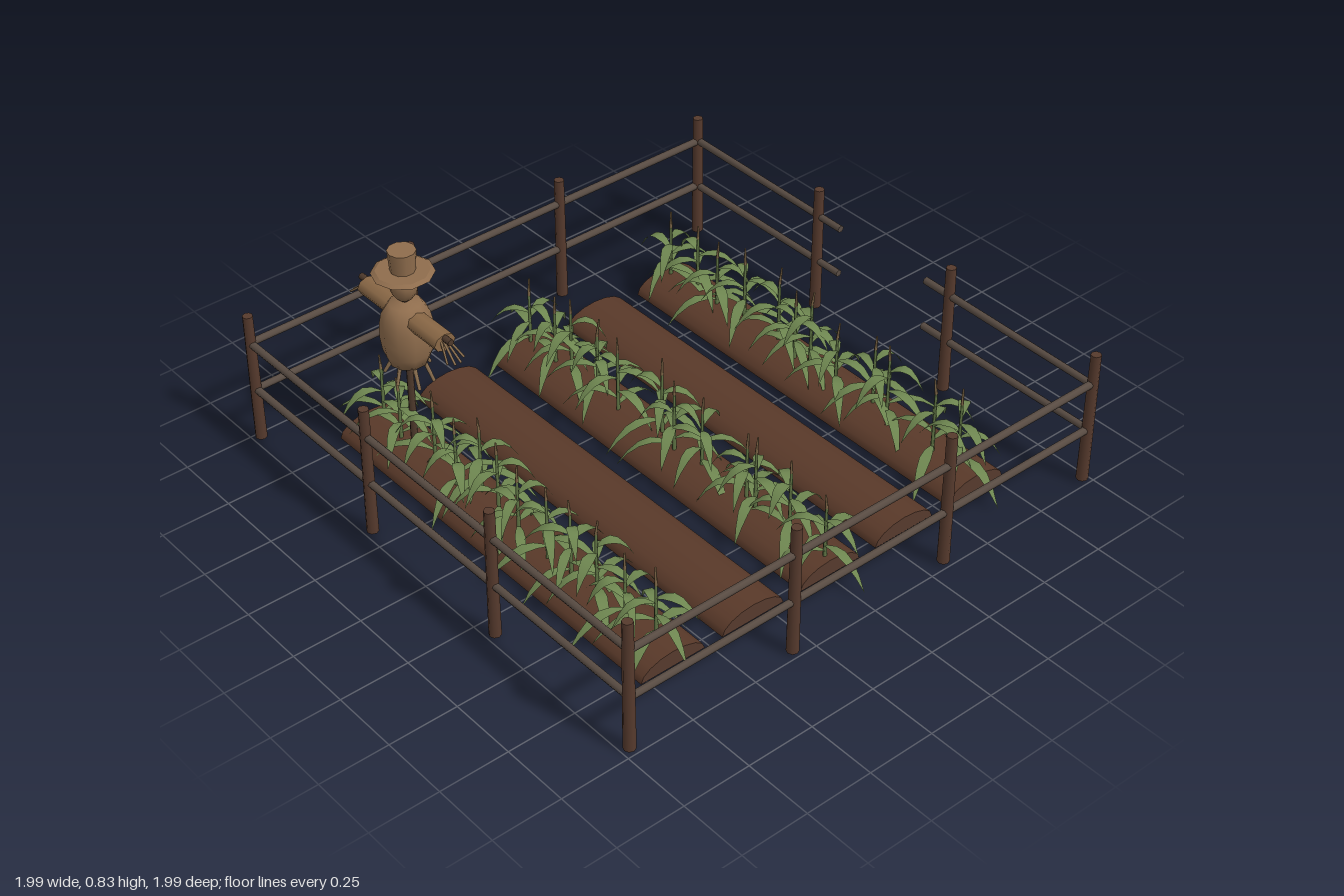
import * as THREE from 'three';
import { mergeGeometries } from 'three/addons/utils/BufferGeometryUtils.js';

const material = (name, color, extra = {}) => {
  const m = new THREE.MeshStandardMaterial({ color, ...extra });
  m.name = name;
  return m;
};

// Small seeded generator: returns values between a and b
let seed = 11;
const rand = (a, b) => {
  seed = (seed * 16807) % 2147483647;
  return a + (b - a) * (seed / 2147483647);
};

function add(parent, name, geometry, mat, x = 0, y = 0, z = 0) {
  const mesh = new THREE.Mesh(geometry, mat);
  mesh.name = name;
  mesh.position.set(x, y, z);
  parent.add(mesh);
  return mesh;
}

// Round bar between two points
function bar(parent, name, a, b, r1, r2, mat, sides = 7) {
  const from = new THREE.Vector3(...a), to = new THREE.Vector3(...b);
  const dir = to.clone().sub(from);
  const mesh = add(parent, name, new THREE.CylinderGeometry(r2, r1, dir.length(), sides), mat);
  mesh.position.copy(from).addScaledVector(dir, 0.5);
  mesh.quaternion.setFromUnitVectors(new THREE.Vector3(0, 1, 0), dir.normalize());
  return mesh;
}

const lathe = (points, sides) =>
  new THREE.LatheGeometry(points.map(p => new THREE.Vector2(...p)), sides);

// Arching leaf growing along +x, tapering to a point
function leafGeometry(length, halfWidth, rise, drop) {
  const widths = [0.25, 0.75, 1, 0.85, 0.5, 0];
  const pos = [], index = [];
  widths.forEach((w, i) => {
    const t = i / (widths.length - 1);
    const x = length * t, y = rise * Math.sin(t * Math.PI * 0.75) - drop * t * t;
    const h = w * halfWidth;
    pos.push(x, y, -h, x, y, h);
    if (i === 0) return;
    const a = (i - 1) * 2, b = i * 2;
    index.push(a, a + 1, b, a + 1, b + 1, b);
  });
  const g = new THREE.BufferGeometry();
  g.setAttribute('position', new THREE.Float32BufferAttribute(pos, 3));
  g.setIndex(index);
  g.computeVertexNormals();
  return g;
}

function cornPlant(mats) {
  const plant = new THREE.Group();
  plant.name = 'cornPlant';
  const height = rand(0.24, 0.29);
  bar(plant, 'stalk', [0, 0, 0], [0, height, 0], 0.008, 0.005, mats.stalk, 5);
  bar(plant, 'tassel', [0, height, 0], [rand(-0.006, 0.006), height + rand(0.05, 0.07), rand(-0.006, 0.006)],
    0.006, 0.003, mats.tassel, 5);
  const leaves = [], count = 7, start = rand(0, 6.28);
  for (let i = 0; i < count; i++) {
    const t = i / (count - 1);
    const length = (0.2 - 0.07 * t) * rand(0.85, 1.15);
    const g = leafGeometry(length, rand(0.017, 0.021), rand(0.03, 0.06), 0.11 - 0.02 * t);
    g.rotateY(start + i * 2.4 + rand(-0.4, 0.4));
    g.translate(0, 0.07 + t * (height - 0.12), 0);
    leaves.push(g);
  }
  add(plant, 'leaves', mergeGeometries(leaves), mats.leaf);
  return plant;
}

function scarecrow(mats) {
  const s = new THREE.Group();
  s.name = 'scarecrow';
  bar(s, 'pole', [0, 0, 0], [0, 0.66, 0], 0.013, 0.012, mats.wood);
  bar(s, 'crossPole', [-0.245, 0.597, 0], [0.245, 0.597, 0], 0.012, 0.012, mats.wood);

  // Sack body
  add(s, 'body', lathe([[0, 0.395], [0.066, 0.397], [0.083, 0.44], [0.09, 0.49], [0.089, 0.54],
    [0.08, 0.585], [0.055, 0.625], [0, 0.632]], 10), mats.cloth);

  for (const side of [-1, 1]) {
    // Flattened sleeve
    const sleeve = new THREE.CylinderGeometry(1, 1, 0.18, 8);
    sleeve.rotateZ(Math.PI / 2).scale(1, 0.032, 0.041);
    add(s, 'sleeve', sleeve, mats.sleeve, side * 0.122, 0.58, 0);

    // Straw fingers
    for (let i = -1.5; i <= 1.5; i++) {
      bar(s, 'strawFinger', [side * 0.2, 0.595, i * 0.006],
        [side * (0.285 - Math.abs(i) * 0.012), 0.53 + Math.abs(i) * 0.006, i * 0.022], 0.005, 0.004, mats.straw, 5);
    }
  }
  // Straw hanging below the body
  for (let i = 0; i < 7; i++) {
    const a = i * Math.PI * 2 / 7 + 0.3, c = Math.cos(a), d = Math.sin(a);
    bar(s, 'strawSkirt', [c * 0.05, 0.41, d * 0.05], [c * 0.09, 0.33 + (i % 3) * 0.012, d * 0.078],
      0.008, 0.006, mats.straw, 5);
  }
  // Head and hat
  add(s, 'head', lathe([[0, 0.637], [0.026, 0.643], [0.044, 0.67], [0.05, 0.7], [0.046, 0.73], [0, 0.75]], 12),
    mats.cloth);
  add(s, 'hatBrim', new THREE.CylinderGeometry(0.09, 0.105, 0.009, 10), mats.cloth, 0, 0.746, 0);
  add(s, 'hatCrown', new THREE.CylinderGeometry(0.048, 0.042, 0.078, 10), mats.cloth, 0, 0.787, 0);
  return s;
}

function fence(mats) {
  const f = new THREE.Group();
  f.name = 'fence';
  const e = 0.973, third = 0.325;
  // Posts round the perimeter
  const spots = [];
  for (const x of [-e, -third, third, e]) spots.push([x, e], [x, -e]);
  for (const z of [-third, third]) spots.push([-e, z], [e, z]);
  for (const [x, z] of spots) {
    bar(f, 'post', [x, 0, z], [x + rand(-0.004, 0.004), rand(0.485, 0.51), z], 0.021, 0.018, mats.earth, 8);
  }
  // Rails, leaving a gateway at the back
  for (const y of [0.202, 0.388]) {
    const rail = (a, b) => bar(f, 'rail', [a[0], y + rand(-0.004, 0.004), a[1]],
      [b[0], y + rand(-0.004, 0.004), b[1]], 0.014, 0.013, mats.rail);
    rail([-e, e], [e, e]);
    rail([-e, -e], [-0.21, -e]);
    rail([0.21, -e], [e, -e]);
    for (const x of [-e, e]) rail([x, -e], [x, e]);
  }
  return f;
}

export function createModel() {
  const both = { side: THREE.DoubleSide };
  const mats = {
    earth: material('earth brown', 0x563a2d),
    rail: material('weathered rail', 0x594c43),
    soil: material('soil', 0x593929, both),
    leaf: material('leaf green', 0x6e8650, both),
    stalk: material('stalk green', 0x5f7444),
    tassel: material('tassel brown', 0x7c6546),
    wood: material('pole brown', 0x4f3a2c),
    cloth: material('sackcloth', 0x8f6d4d),
    sleeve: material('sleeve cloth', 0x8a6846),
    straw: material('straw', 0x8c7050),
  };

  const model = new THREE.Group();
  model.name = 'cornField';
  model.add(fence(mats));

  // Soil ridges: hollow half cylinders along x, with end faces
  const ridge = new THREE.CylinderGeometry(1, 1, 1.58, 8, 1, false, 0, Math.PI);
  ridge.rotateZ(Math.PI / 2).scale(1, 0.06, 0.127);
  for (let i = -2; i <= 2; i++) {
    add(model, 'soilRidge', ridge, [mats.soil, mats.earth, mats.earth], 0, 0, i * 0.326 - 0.003);
  }

  // Corn on every second ridge, unevenly spaced
  const rows = [
    [-0.655, [-0.75, -0.62, -0.5, -0.38, -0.2, -0.08, -0.03, 0.13, 0.28, 0.36, 0.6, 0.7]],
    [-0.005, [-0.75, -0.6, -0.53, -0.38, -0.25, -0.06, 0.04, 0.16, 0.38, 0.44, 0.6, 0.76]],
    [0.645, [-0.73, -0.6, -0.45, -0.28, -0.2, -0.08, 0.04, 0.2, 0.31, 0.43, 0.58, 0.7]],
  ];
  for (const [z, xs] of rows) {
    const row = new THREE.Group();
    row.name = 'cornRow';
    for (const x of xs) {
      const plant = cornPlant(mats);
      plant.position.set(x, 0.01, z + rand(-0.025, 0.025));
      row.add(plant);
    }
    model.add(row);
  }

  const figure = scarecrow(mats);
  figure.position.set(-0.555, 0, 0.635);
  model.add(figure);
  return model;
}
